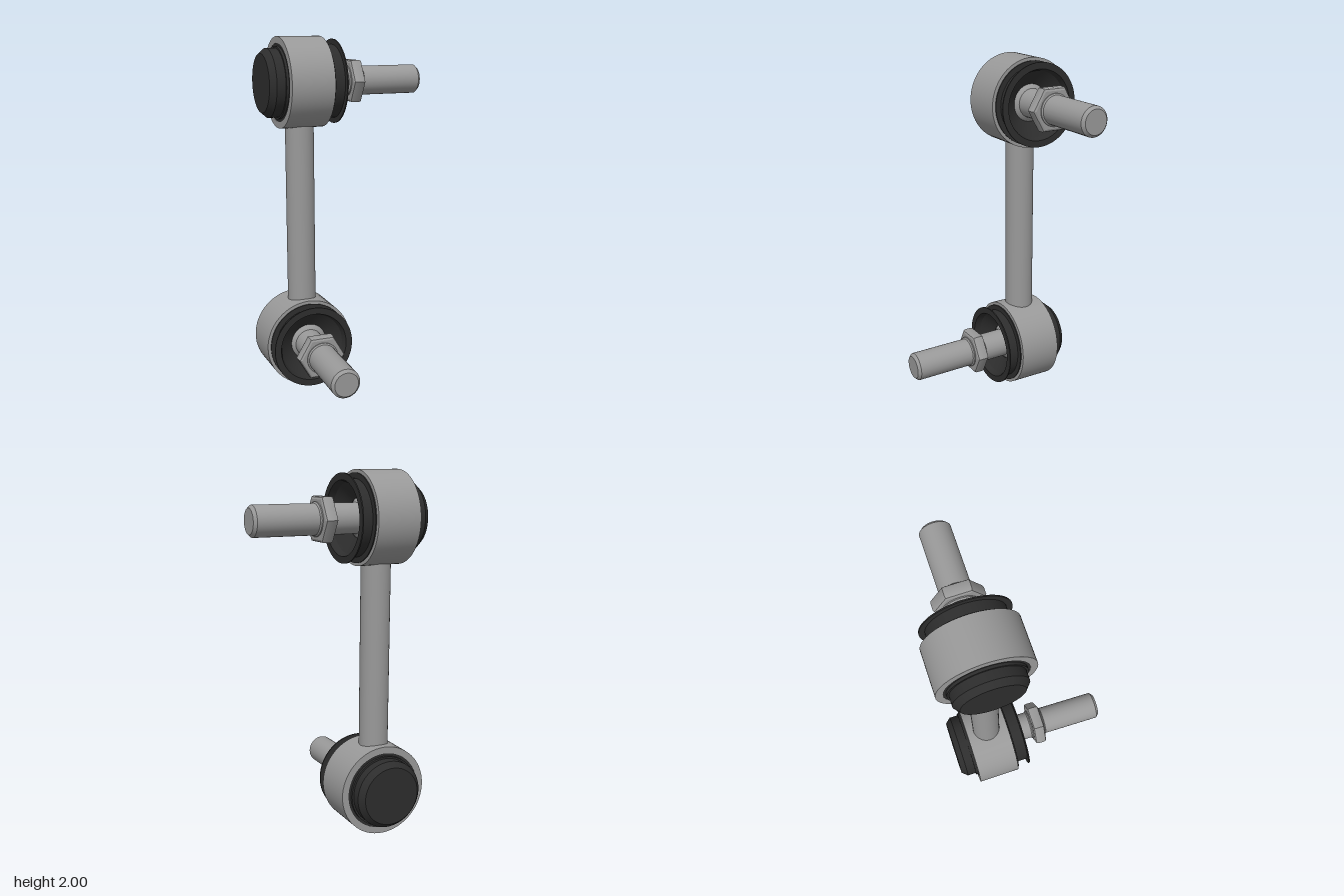
import * as THREE from 'three';
import { toCreasedNormals } from 'three/addons/utils/BufferGeometryUtils.js';

const metal = new THREE.MeshStandardMaterial({ color: 0x999999 });
const rubber = new THREE.MeshStandardMaterial({ color: 0x2d2d2d });

// Turned part from [radius, height] pairs, outer side listed upwards
function turned(name, profile, material, sides = 64) {
  const points = profile.map(([r, y]) => new THREE.Vector2(r, y));
  const geometry = toCreasedNormals(new THREE.LatheGeometry(points, sides), 0.4);
  const mesh = new THREE.Mesh(geometry, material);
  mesh.name = name;
  return mesh;
}

// Ball joint built along its own +y axis, centred on the ball
function createJoint(name, tiltX, tiltZ) {
  const joint = new THREE.Group();
  joint.name = name;

  joint.add(turned('housing', [
    [0.215, -0.123], [0.252, -0.123], [0.252, 0.123], [0.215, 0.123], [0.215, -0.123],
  ], metal));

  // Closed cap on the rear of the housing
  joint.add(turned('rearCap', [
    [0, -0.22], [0.162, -0.22], [0.19, -0.187], [0.19, -0.137],
    [0.2, -0.137], [0.2, -0.122], [0.216, -0.122], [0.216, -0.1], [0, -0.1],
  ], rubber));

  // Hollow boot with a thin flange at each end
  joint.add(turned('boot', [
    [0.11, 0.09], [0.216, 0.09], [0.216, 0.122], [0.235, 0.126], [0.235, 0.132],
    [0.205, 0.132], [0.205, 0.198], [0.235, 0.198], [0.235, 0.205], [0.198, 0.205],
    [0.185, 0.17], [0.155, 0.145], [0.105, 0.11], [0.11, 0.09],
  ], rubber));

  // Ball stud, tilted about the ball centre
  const stud = new THREE.Group();
  stud.name = 'ballStud';
  stud.rotation.set(tiltX, 0, tiltZ);
  const ball = new THREE.Mesh(new THREE.SphereGeometry(0.15, 48, 24), metal);
  ball.name = 'ball';
  stud.add(ball);
  stud.add(turned('shaft', [
    [0.082, 0.1], [0.082, 0.272], [0.09, 0.278], [0.09, 0.36],
    [0.082, 0.366], [0.082, 0.706], [0.067, 0.722], [0, 0.722],
  ], metal, 48));
  stud.add(turned('hexCollar', [
    [0, 0.284], [0.118, 0.284], [0.13, 0.289], [0.135, 0.3],
    [0.135, 0.338], [0.13, 0.349], [0.118, 0.354], [0, 0.354],
  ], metal, 6));
  joint.add(stud);

  // Lay the joint along +x
  joint.rotation.z = -Math.PI / 2;
  const holder = new THREE.Group();
  holder.name = name + 'Holder';
  holder.add(joint);
  return holder;
}

export function createModel() {
  const model = new THREE.Group();
  model.name = 'stabilizerLink';
  const offset = -0.235;

  const rod = new THREE.Mesh(new THREE.CylinderGeometry(0.081, 0.081, 1.05, 48, 1, true), metal);
  rod.name = 'rod';
  rod.position.set(offset, 1, offset);
  model.add(rod);

  const upper = createJoint('upperJoint', 0, 0);
  upper.position.set(offset, 1.748, offset);

  // Lower joint turned a quarter so its stud points forward
  const lower = createJoint('lowerJoint', 0.016, -0.026);
  lower.position.set(offset, 0.252, offset);
  lower.rotation.y = -Math.PI / 2;

  model.add(upper, lower);
  return model;
}
